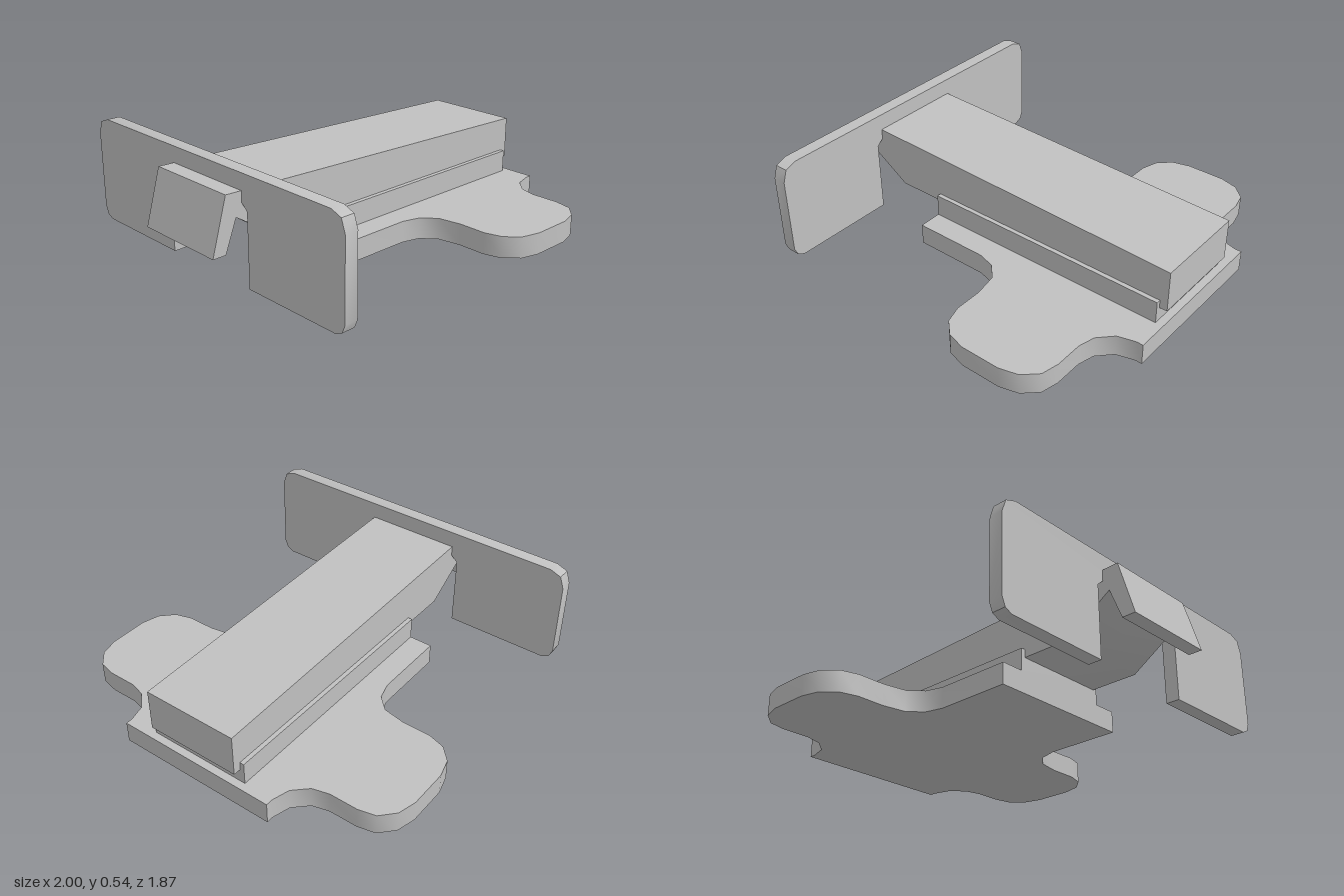
import * as THREE from 'three';
import { toCreasedNormals } from 'three/addons/utils/BufferGeometryUtils.js';

const grey = new THREE.MeshStandardMaterial({ color: 0xc0c0c0 });

// Closed prism from a list of [x, y] points, extruded along +z
function prism(points, depth) {
  const shape = new THREE.Shape(points.map(([x, y]) => new THREE.Vector2(x, y)));
  return new THREE.ExtrudeGeometry(shape, { depth, bevelEnabled: false });
}

// Full outline from one half: mirror the first or second coordinate
const mirrorX = (half) => [...half, ...half.map(([x, y]) => [-x, y]).reverse()];
const mirrorY = (half) => [...half, ...half.map(([x, y]) => [x, -y]).reverse()];

function add(group, name, geometry) {
  const mesh = new THREE.Mesh(toCreasedNormals(geometry, 0.7), grey);
  mesh.name = name;
  group.add(mesh);
}

export function createModel() {
  const group = new THREE.Group();
  group.name = 'clampAssembly';

  // Base plate with a rounded lobe on each side
  const baseHalf = [
    [-0.365, 0.395], [0.03, 0.395], [0.12, 0.42], [0.185, 0.49], [0.207, 0.61],
    [0.207, 0.755], [0.233, 0.845], [0.3, 0.91], [0.395, 0.935], [0.6, 0.935],
    [0.695, 0.91], [0.765, 0.845], [0.785, 0.755], [0.785, 0.61], [0.807, 0.525],
    [0.875, 0.455], [0.965, 0.43], [1, 0.43],
  ];
  add(group, 'basePlate', prism(mirrorY(baseHalf), 0.11).rotateX(Math.PI / 2).translate(0, 0.11, 0));

  // Raised seat that carries the bar
  add(group, 'barSeat', new THREE.BoxGeometry(1.325, 0.115, 0.545).translate(0.2975, 0.1675, 0));

  // Tapered bar with a hooked end
  const barProfile = [
    [1, 0.183], [1, 0.398], [-0.92, 0.46], [-1, 0.183],
    [-0.93, 0.183], [-0.868, 0.342], [-0.62, 0.183],
  ];
  add(group, 'hookedBar', prism(barProfile, 0.5).translate(0, 0, -0.25));

  // Upright cross plate with a slot open at the bottom
  const plateHalf = [
    [0.252, 0.4], [0.285, 0.37], [0.285, 0], [0.84, 0], [0.877, 0.018],
    [0.895, 0.06], [0.895, 0.455], [0.873, 0.518], [0.815, 0.54],
  ];
  add(group, 'crossPlate', prism(mirrorX(plateHalf), 0.07).rotateY(Math.PI / 2).translate(-0.835, 0, 0));

  return group;
}
